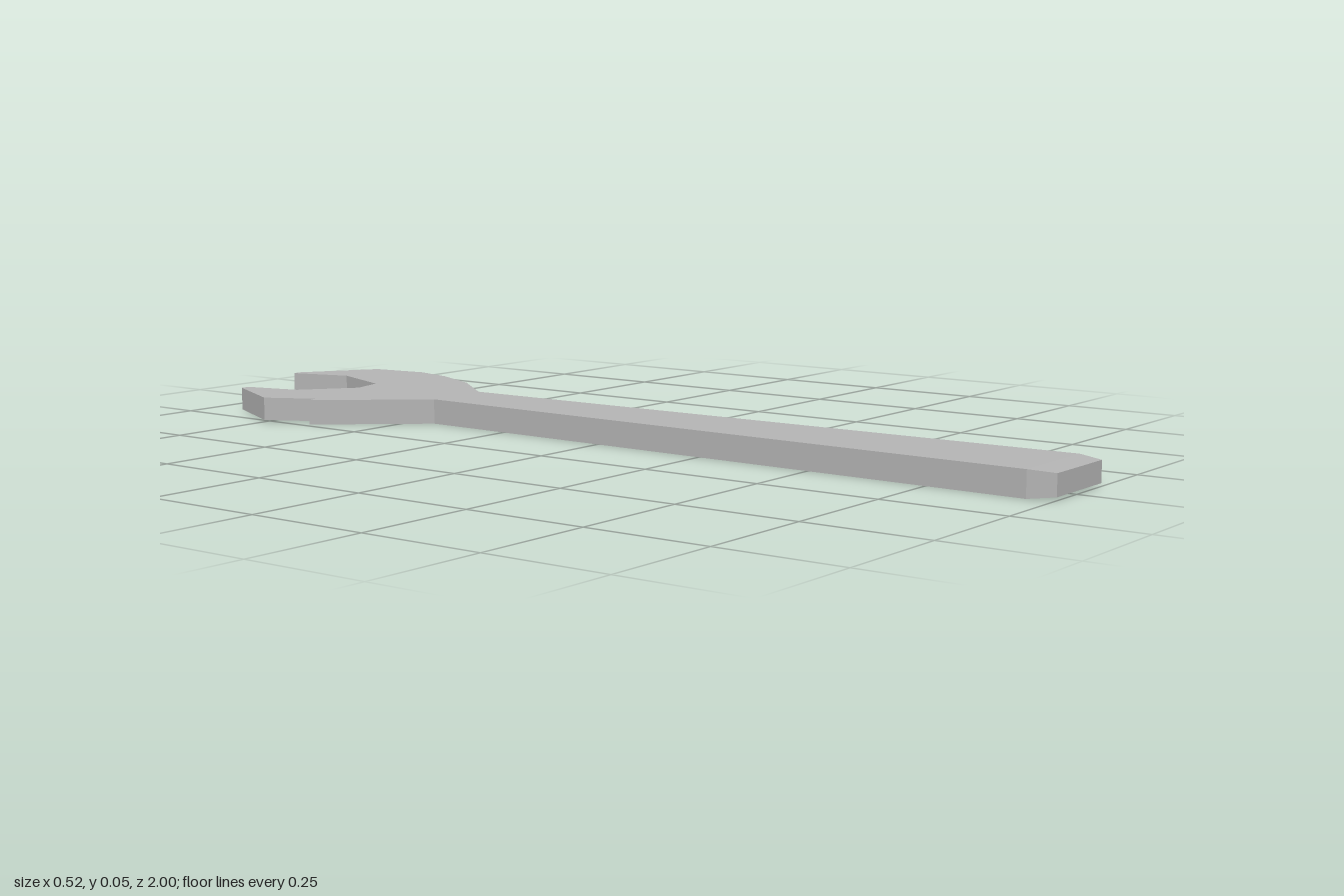
import * as THREE from 'three';

export function createModel() {
  const group = new THREE.Group();
  group.name = 'adjustableWrench';
  const steel = new THREE.MeshStandardMaterial({ color: 0xb4b4b4 });
  steel.name = 'steel grey';

  // Flat plate cut from an outline of [x, z] points, between two heights
  function plate(name, outline, bottom, top) {
    const shape = new THREE.Shape(outline.map(([x, z]) => new THREE.Vector2(x, z)));
    const geometry = new THREE.ExtrudeGeometry(shape, { depth: top - bottom, bevelEnabled: false });
    geometry.rotateX(Math.PI / 2).translate(0, top, 0);
    const mesh = new THREE.Mesh(geometry, steel);
    mesh.name = name;
    group.add(mesh);
  }

  // Tapered handle flaring towards the end
  plate('handle', [[-0.065, -0.445], [0.083, -0.45], [0.113, 0.95], [-0.093, 0.95]], 0, 0.052);

  // Head with the fixed jaw, ending at the sliding seam
  plate('fixedJaw', [
    [-0.065, -0.445], [-0.235, -0.645], [-0.205, -0.653], [-0.018, -0.705], [0.045, -0.72],
    [0.105, -0.87], [0.066, -1], [0.085, -1], [0.238, -0.9], [0.257, -0.775],
    [0.235, -0.685], [0.18, -0.57], [0.083, -0.45],
  ], 0, 0.052);

  // Slightly thinner sliding jaw
  plate('slidingJaw', [
    [-0.205, -0.653], [-0.26, -0.755], [-0.18, -0.91], [-0.16, -0.91],
    [-0.13, -0.79], [-0.018, -0.705],
  ], 0.003, 0.051);

  // Chamfered handle end: a box whose front face is drawn in
  const end = new THREE.BoxGeometry(1, 1, 1);
  const p = end.attributes.position;
  for (let i = 0; i < p.count; i++) {
    const front = p.getZ(i) > 0;
    const left = p.getX(i) > 0;
    const top = p.getY(i) > 0;
    p.setXYZ(i,
      left ? (front ? 0.098 : 0.113) : (front ? -0.077 : -0.093),
      top ? (front ? 0.048 : 0.052) : (front ? 0.006 : 0),
      front ? 1 : 0.95);
  }
  end.computeVertexNormals();
  const endMesh = new THREE.Mesh(end, steel);
  endMesh.name = 'handleEnd';
  group.add(endMesh);

  return group;
}
